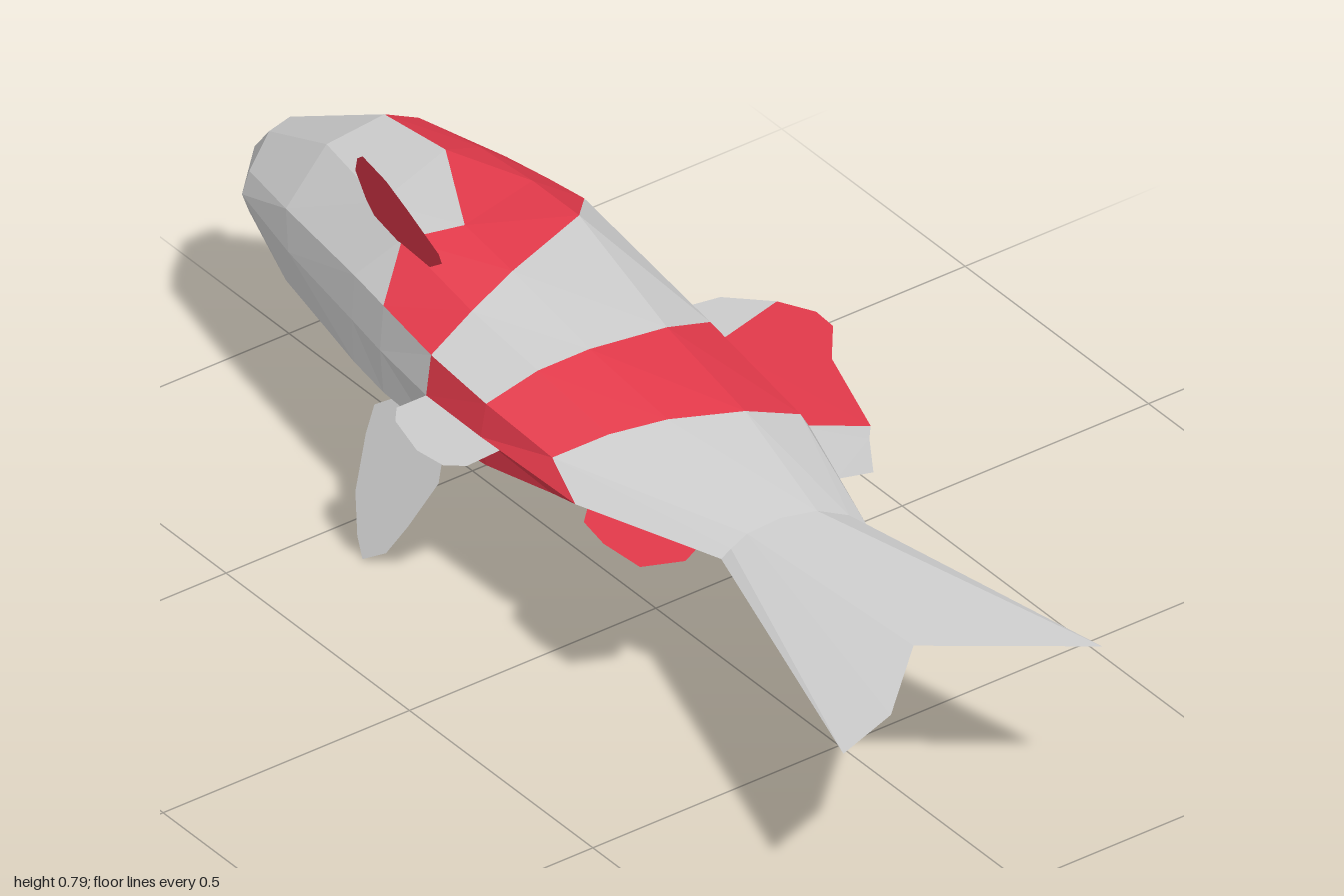
import * as THREE from 'three';

const MID = 0.395; // height of the symmetry plane; the fish lies on its side

const mat = (color) => new THREE.MeshStandardMaterial({ color, flatShading: true, side: THREE.DoubleSide });
const pale = mat(0xcccccc), red = mat(0xe2394a), black = mat(0x111111);

// Cross-sections from snout to tail: flank points [x, z, half thickness], back to belly
const FLANK = [
  [[.035, -.9, .025], [0, -.92, .048], [-.05, -.93, .088], [-.1, -.92, .085], [-.155, -.9, .04]],
  [[.13, -.74, .08], [.07, -.74, .14], [0, -.74, .175], [-.11, -.75, .155], [-.2, -.74, .07]],
  [[.165, -.63, .085], [.09, -.6, .15], [.005, -.58, .19], [-.15, -.55, .165], [-.24, -.5, .085]],
  [[.178, -.53, .09], [.1, -.47, .15], [-.09, -.4, .177], [-.18, -.45, .158], [-.255, -.4, .085]],
  [[.19, -.45, .09], [.105, -.35, .145], [-.09, -.27, .157], [-.18, -.26, .12], [-.27, -.25, .075]],
  [[.17, -.08, .055], [.06, -.05, .105], [-.09, -.06, .117], [-.18, -.08, .1], [-.27, -.1, .06]],
  [[.145, .2, .035], [.04, .19, .078], [-.08, .14, .083], [-.17, .1, .068], [-.255, .06, .035]],
  [[.05, .46, .015], [0, .44, .033], [-.06, .42, .032], [-.12, .41, .02], [-.16, .42, .012]],
  [[.165, .995, 0], [-.08, .81, 0], [-.08, .81, 0], [-.23, .95, 0], [-.36, .995, 0]],
];
// Edge lines [x, z] on the symmetry plane
const BACK = [[.05, -.89], [.145, -.74], [.175, -.66], [.19, -.58], [.205, -.5], [.205, -.12], [.165, .2], [.07, .48], [.165, .995]];
const BELLY = [[-.17, -.9], [-.21, -.72], [-.245, -.5], [-.262, -.4], [-.28, -.25], [-.281, -.1], [-.275, .15], [-.18, .42], [-.36, .995]];

// Strips that are red in each band between neighbouring sections
const RED_STRIPS = { 1: [0, 1, 2], 2: [0, 1, 2], 3: [0, 1, 2, 3, 4], 4: [5], 5: [0, 1, 2, 3, 4, 5] };

function triangles(name, list, material) {
  const geo = new THREE.BufferGeometry();
  geo.setAttribute('position', new THREE.Float32BufferAttribute(list.flat(), 3));
  geo.computeVertexNormals();
  const mesh = new THREE.Mesh(geo, material);
  mesh.name = name;
  return mesh;
}

function buildBody() {
  const body = new THREE.Group();
  body.name = 'body';
  const skin = { pale: [], red: [], tail: [] };
  for (const side of [1, -1]) {
    const at = ([x, z, h = 0]) => [x, MID + side * h, z];
    const rings = FLANK.map((f, i) => [BACK[i], ...f, BELLY[i]].map(at));
    const nose = at([-.07, -1]);
    const add = (list, a, b, c) => list.push(...(side > 0 ? [a, b, c] : [a, c, b]));
    for (let s = 0; s < 6; s++) {
      add(skin.pale, nose, rings[0][s + 1], rings[0][s]);
      for (let r = 0; r < rings.length - 1; r++) {
        const list = r === 7 ? skin.tail : RED_STRIPS[r]?.includes(s) ? skin.red : skin.pale;
        add(list, rings[r][s], rings[r][s + 1], rings[r + 1][s]);
        add(list, rings[r][s + 1], rings[r + 1][s + 1], rings[r + 1][s]);
      }
    }
  }
  body.add(triangles('paleSkin', skin.pale, pale), triangles('redBands', skin.red, red),
    triangles('tailFin', skin.tail, pale));
  return body;
}

// Thin fin from a 2D outline; place() maps each outline point into space
function fin(name, outline, material, place) {
  const geo = new THREE.ShapeGeometry(new THREE.Shape(outline.map(([a, b]) => new THREE.Vector2(a, b))));
  const pos = geo.attributes.position;
  for (let i = 0; i < pos.count; i++) pos.setXYZ(i, ...place(pos.getX(i), pos.getY(i)));
  geo.computeVertexNormals();
  const mesh = new THREE.Mesh(geo, material);
  mesh.name = name;
  return mesh;
}

export function createModel() {
  const fish = new THREE.Group();
  fish.name = 'fish';
  fish.add(buildBody());

  // Fins on the symmetry plane, the dorsal one sagging slightly at its edge
  const flat = (x, z) => [x, MID - Math.max(0, x - .2) * .06, z];
  fish.add(
    fin('dorsalFinFront', [[.19, -.21], [.28, -.2], [.35, -.14], [.19, -.09]], pale, flat),
    fin('dorsalFin', [[.19, -.09], [.35, -.14], [.385, -.08], [.382, -.03], [.32, .05], [.25, .25], [.15, .18]], red, flat),
    fin('dorsalFinRear', [[.15, .18], [.25, .25], [.225, .28], [.17, .365], [.11, .345], [.09, .3]], pale, flat),
    fin('pelvicFin', [[-.27, -.25], [-.34, -.25], [-.365, -.22], [-.388, -.13], [-.38, -.07], [-.35, -.045], [-.27, -.05]], pale, flat),
    fin('analFin', [[-.265, .17], [-.295, .2], [-.307, .27], [-.3, .36], [-.23, .39], [-.19, .37], [-.22, .25]], red, flat),
  );

  // Pectoral fins and eyes, one on each flank
  const pectoral = [[-.44, .14], [-.5, .185], [-.495, .23], [-.47, .315], [-.43, .37], [-.4, .395], [-.355, .365], [-.33, .31], [-.3, .225], [-.31, .195], [-.38, .14]];
  for (const side of [1, -1]) {
    const label = side > 0 ? 'upper' : 'lower';
    fish.add(fin(label + 'PectoralFin', pectoral, side > 0 ? red : pale,
      (z, h) => [-.18 - (h - .145) * .47, MID + side * h, z]));
    const eye = new THREE.Mesh(new THREE.SphereGeometry(.016, 10, 8), black);
    eye.name = label + 'Eye';
    eye.position.set(-.03, MID + side * .05, -.94);
    fish.add(eye);
  }
  return fish;
}
